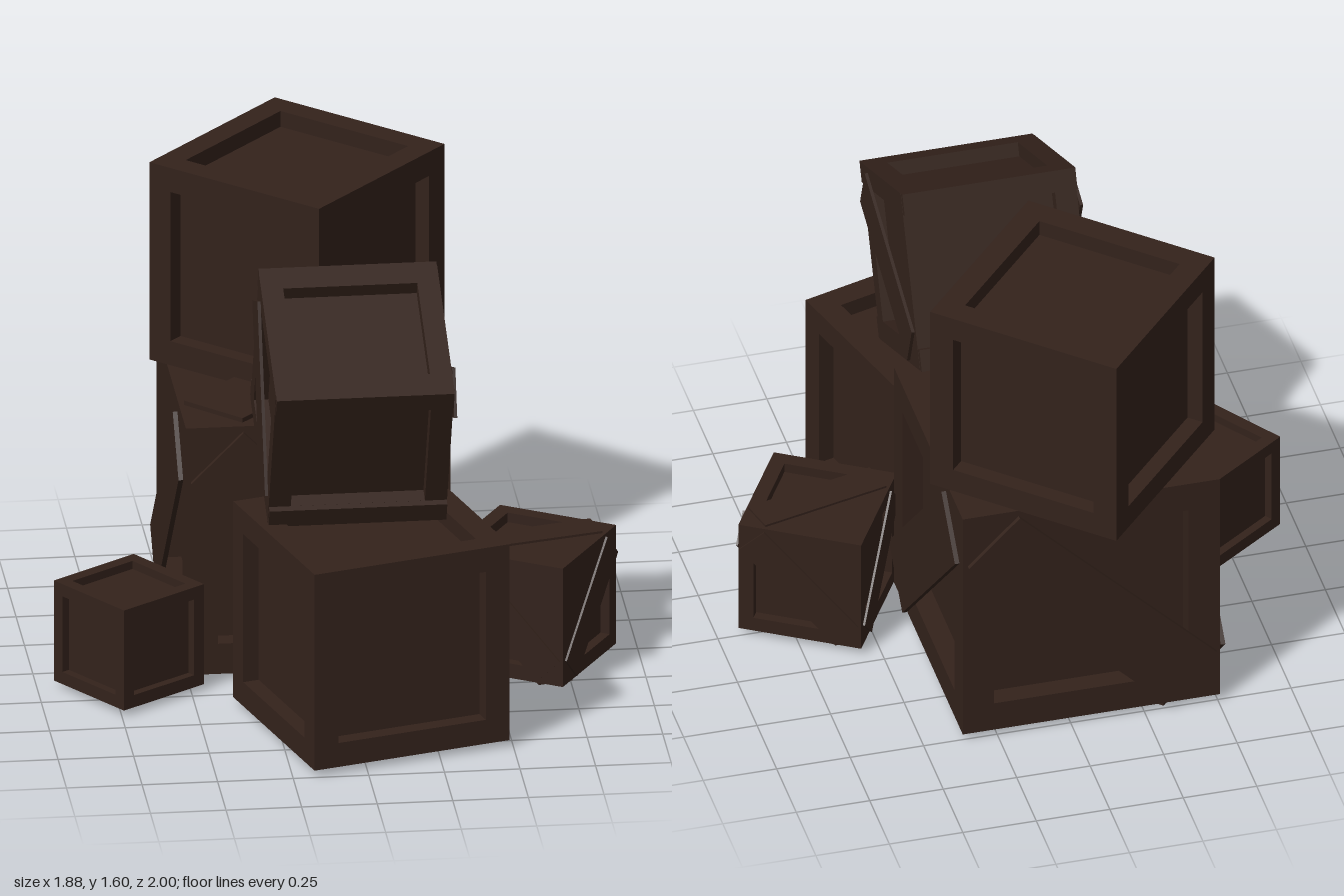
import * as THREE from 'three';

const wood = new THREE.MeshStandardMaterial({ color: 0x33221b, roughness: 0.9, flatShading: true });

function box(parent, name, size, pos) {
  const mesh = new THREE.Mesh(new THREE.BoxGeometry(...size), wood);
  mesh.name = name;
  mesh.position.set(...pos);
  parent.add(mesh);
  return mesh;
}

// Crate: twelve frame beams around a smaller core, so every face has a sunken panel
function crate(name, [w, h, d], pos, turn = 0, tilt = 0) {
  const group = new THREE.Group();
  group.name = name;
  group.position.set(...pos);
  group.rotation.set(tilt, turn, 0);
  const f = 0.122 * h, sink = 0.08 * h;
  box(group, 'panels', [w - 2 * sink, h - 2 * sink, d - 2 * sink], [0, 0, 0]);
  const x = (w - f) / 2, y = (h - f) / 2, z = (d - f) / 2;
  for (const a of [-1, 1]) for (const b of [-1, 1]) {
    box(group, 'frameBeam', [w, f, f], [0, a * y, b * z]);
    box(group, 'framePost', [f, h - 2 * f, f], [a * x, 0, b * z]);
    box(group, 'frameBeam', [f, f, d - 2 * f], [a * x, b * y, 0]);
  }
  return group;
}

// Faces: outward rotation and the slope of the diagonal plank (+1 rises to the right)
const Q = Math.PI / 2;
const FACES = {
  front: [0, 0, -1], right: [0, Q, 1], back: [0, 2 * Q, -1], left: [0, -Q, 1],
  top: [-Q, 0, 1], bottom: [Q, 0, 1],
};

// Square-ended diagonal plank just proud of a face
function brace(group, face, s, slope) {
  const [rx, ry, standard] = FACES[face];
  const holder = new THREE.Group();
  holder.name = face + 'Brace';
  holder.rotation.set(rx, ry, 0);
  const width = 0.28 * s;
  const length = 0.965 * s * Math.SQRT2 - width;
  const plank = box(holder, 'bracePlank', [length, width, 0.018 * s], [0, 0, s * 0.517]);
  plank.rotation.z = (slope ?? standard) * Math.PI / 4;
  group.add(holder);
}

function bracedCrate(name, s, pos, turn) {
  const group = crate(name, [s, s, s], pos, turn);
  for (const face of Object.keys(FACES)) brace(group, face, s);
  return group;
}

export function createModel() {
  const model = new THREE.Group();
  model.name = 'crateStack';
  const deg = Math.PI / 180;

  // Braced crates
  model.add(bracedCrate('largeBracedCrate', 0.875, [-0.07, 0.46, -0.315], 0));
  model.add(bracedCrate('smallBracedCrate', 0.42, [0.64, 0.235, 0.08], -31 * deg));

  // Plain crates
  model.add(crate('topCrate', [0.7, 0.7, 0.69], [-0.07, 1.25, -0.51], 47.6 * deg));
  model.add(crate('frontCrate', [0.695, 0.695, 0.695], [0.057, 0.37, 0.565], 16.3 * deg));
  model.add(crate('smallPlainCrate', [0.35, 0.355, 0.35], [-0.7, 0.198, 0.158], 35 * deg));

  // Leaning crate with projecting rails and braced sides
  const leaning = crate('leaningCrate', [0.59, 0.6, 0.56], [0.013, 1.107, 0.395], 0, 24.4 * deg);
  for (const a of [-1, 1]) for (const b of [-1, 1]) {
    box(leaning, 'rail', [0.588, 0.073, 0.022], [0, a * 0.2635, b * 0.29]);
  }
  brace(leaning, 'right', 0.59, -1);
  brace(leaning, 'left', 0.59, -1);
  model.add(leaning);

  return model;
}
